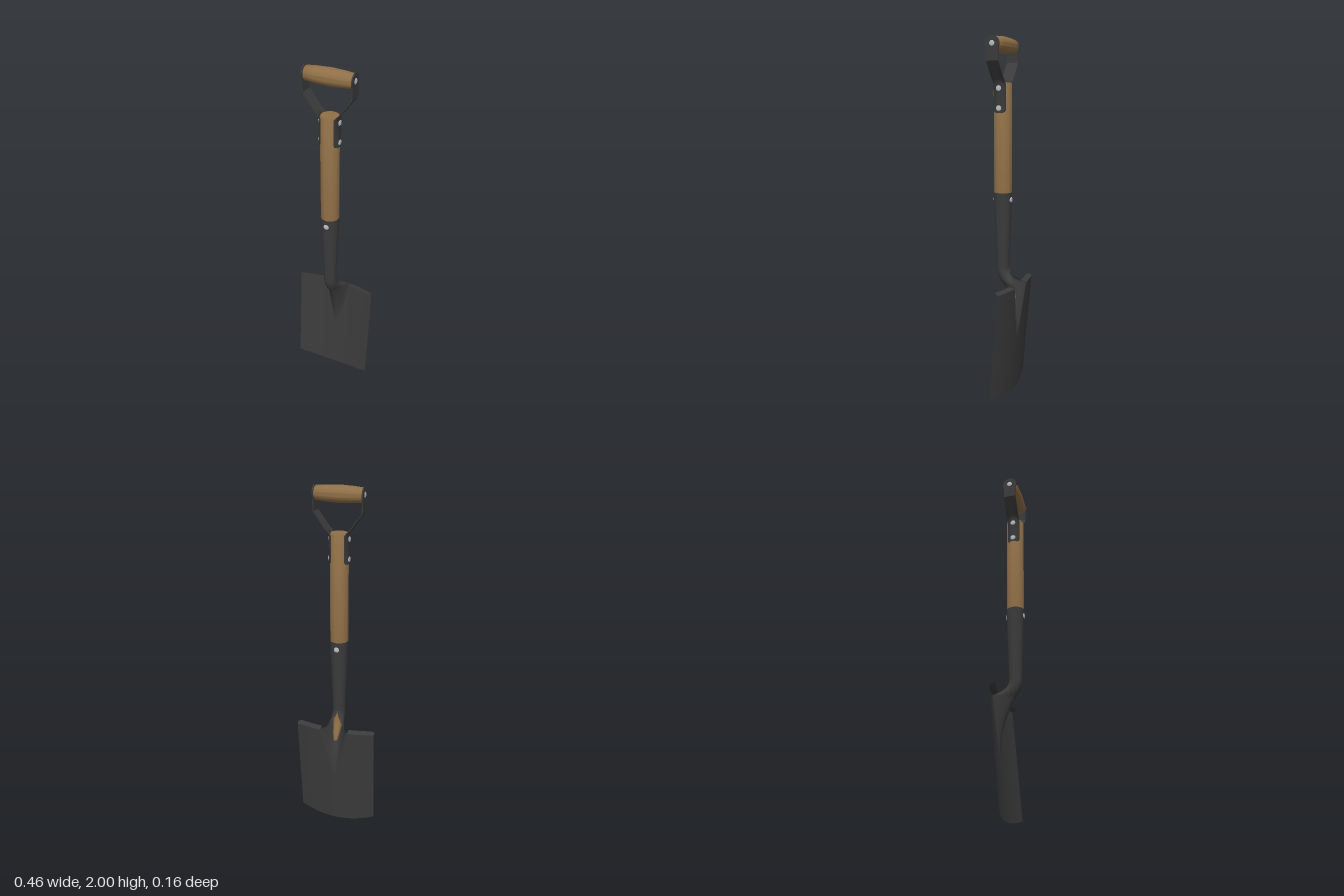
import * as THREE from 'three';
import { toCreasedNormals } from 'three/addons/utils/BufferGeometryUtils.js';

const AXIS_Z = 0.03; // the shaft sits slightly forward of the blade
const BLADE_TOP = 0.64, BLADE_HALF = 0.23, RIB_START = 0.3;

// Surface through rows of [x, y, z] points; "closed" joins each row into a ring
function loft(rows, closed = false) {
  const n = rows[0].length, pos = rows.flat(2), index = [];
  for (let i = 0; i < rows.length - 1; i++) {
    for (let j = 0; j < (closed ? n : n - 1); j++) {
      const a = i * n + j, b = i * n + (j + 1) % n, c = a + n, d = b + n;
      index.push(a, b, d, a, d, c);
    }
  }
  const g = new THREE.BufferGeometry();
  g.setAttribute('position', new THREE.Float32BufferAttribute(pos, 3));
  g.setIndex(index);
  g.computeVertexNormals();
  return g;
}

const range = (n, f) => Array.from({ length: n + 1 }, (_, i) => f(i / n));
const lerp = THREE.MathUtils.lerp;

// Dished, backward-leaning blade surface and its central rib
const bladeZ = (x, y) => -0.025 - 0.09 * y + 0.034 * (x / BLADE_HALF) ** 2;
const ribT = (y) => Math.max(0, (y - RIB_START) / (BLADE_TOP - RIB_START));
const ribHalf = (y) => 0.08 * ribT(y);

function ribPoint(u, y) {
  const t = ribT(y), x = ribHalf(y) * u;
  const bump = Math.max(0, Math.cos(u * Math.PI / 2)) ** (1 + 0.6 * t ** 3);
  return [x, y, bladeZ(x, y) + 0.11 * t * t * bump];
}

export function createModel() {
  const root = new THREE.Group();
  const wood = new THREE.MeshStandardMaterial({ color: 0x8f6f47 });
  const steel = new THREE.MeshStandardMaterial({ color: 0x3b3b3c, side: THREE.DoubleSide });
  const rivetMetal = new THREE.MeshStandardMaterial({ color: 0xb9bcbe });
  wood.name = 'wood';
  steel.name = 'darkSteel';
  rivetMetal.name = 'rivetMetal';

  const add = (name, geometry, material, x = 0, y = 0, z = 0) => {
    const m = new THREE.Mesh(geometry, material);
    m.name = name;
    m.position.set(x, y, z);
    root.add(m);
    return m;
  };
  const lathe = (pts, seg = 40) => toCreasedNormals(
    new THREE.LatheGeometry(pts.map(([r, y]) => new THREE.Vector2(r, y)), seg), 0.6);

  // Blade halves, tread lips
  for (const side of [-1, 1]) {
    const half = range(32, (t) => range(14, (k) => {
      const yMid = lerp(0, BLADE_TOP, t);
      const x = side * lerp(ribHalf(yMid), BLADE_HALF, k);
      const y = lerp(0.035 * (x / BLADE_HALF) ** 2, BLADE_TOP, t);
      // keep the inner border on the rib's edge
      const yy = lerp(yMid, y, Math.min(1, k * 8));
      return [x, yy, bladeZ(x, yy)];
    }));
    add('bladeHalf', loft(half), steel);

    const lip = range(1, (d) => range(16, (k) => {
      const x = lerp(0.08, BLADE_HALF, k);
      const width = k > 0.9 ? lerp(0.034, 0.014, (k - 0.9) / 0.1) : 0.034;
      return [side * x, BLADE_TOP + 0.008 * d, bladeZ(x, BLADE_TOP) + width * d];
    }));
    add('treadLip', loft(lip), steel);
  }

  // Rib pressed into the blade, running up into the open-backed socket neck
  const rib = range(24, (t) => range(32, (k) =>
    ribPoint(2 * k - 1, lerp(RIB_START, BLADE_TOP, t))));
  const neck = range(12, (t) => range(32, (k) => {
    const u = 2 * k - 1, a = u * Math.PI, s = 1 - (1 - t) ** 2;
    const p = ribPoint(u, BLADE_TOP);
    return [
      lerp(p[0], 0.036 * Math.sin(a), s),
      lerp(BLADE_TOP, 0.74, t),
      lerp(p[2], AXIS_Z + 0.036 * Math.cos(a), s),
    ];
  })).slice(1);
  add('ribAndNeck', loft([...rib, ...neck]), steel);

  // Socket tube
  add('socket', lathe([[0.036, 0.74], [0.039, 0.84], [0.046, 1.02], [0.051, 1.165], [0.046, 1.165]]),
    steel, 0, 0, AXIS_Z);

  // Wooden tip of the shaft, bending back inside the neck
  const tip = [[0.76, 0.03, 0.033], [0.7, 0.022, 0.03], [0.65, 0.003, 0.026],
    [0.6, -0.022, 0.019], [0.565, -0.037, 0.012], [0.56, -0.039, 0.001]];
  add('shaftTip', loft(tip.map(([y, z, r]) => range(23, (k) => {
    const a = k * Math.PI * 2 * 23 / 24;
    return [r * Math.cos(a), y, z + r * Math.sin(a)];
  })), true), wood);

  // Shaft
  add('shaft', lathe([[0, 1.15], [0.0495, 1.15], [0.0495, 1.752], [0.046, 1.76], [0, 1.762]]),
    wood, 0, 0, AXIS_Z);

  // Grip
  const grip = lathe([[0, -0.128], [0.034, -0.128], [0.037, -0.124], [0.042, -0.07], [0.045, 0],
    [0.042, 0.07], [0.037, 0.124], [0.034, 0.128], [0, 0.128]]);
  grip.rotateZ(Math.PI / 2);
  add('grip', grip, wood, 0, 1.955, AXIS_Z);

  // Straps: [x, y, half width, wrap around the shaft]
  const path = [[0.049, 1.6, 0.02, 1], [0.049, 1.605, 0.029, 1], [0.049, 1.615, 0.035, 1],
    [0.049, 1.75, 0.035, 1], [0.053, 1.768, 0.035, 0.3], [0.06, 1.778, 0.035, 0],
    [0.126, 1.868, 0.035, 0], [0.127, 1.925, 0.035, 0]];
  for (let i = 0; i <= 10; i++) { // rounded top
    const a = lerp(-0.45, Math.PI / 2 - 0.05, i / 10);
    path.push([0.127, 1.955 + 0.042 * Math.sin(a), 0.042 * Math.cos(a), 0]);
  }
  const R = 0.05, THICK = 0.006;
  for (const side of [-1, 1]) {
    const rows = path.map(([x, y, w, wrap]) => {
      const line = (off) => range(8, (k) => {
        const z = lerp(-w, w, k);
        const sag = wrap * (R - Math.sqrt(R * R - z * z));
        return [side * (x + off - sag), y, AXIS_Z + z];
      });
      return [...line(THICK), ...line(0).reverse()];
    });
    if (side < 0) rows.forEach((r) => r.reverse());
    add('strap', toCreasedNormals(loft(rows, true), 0.6), steel);
  }

  // Rivets: low domed discs
  const rivet = lathe([[0.015, -0.002], [0.015, 0.002], [0.01, 0.005], [0, 0.006]], 20);
  for (const side of [-1, 1]) {
    for (const [x, y] of [[0.054, 1.625], [0.054, 1.73], [0.132, 1.957]]) {
      add('strapRivet', rivet, rivetMetal, side * x, y, AXIS_Z).rotation.z = -side * Math.PI / 2;
    }
    add('socketRivet', rivet, rivetMetal, 0, 1.125, AXIS_Z + side * 0.049).rotation.x = side * Math.PI / 2;
  }

  return root;
}
